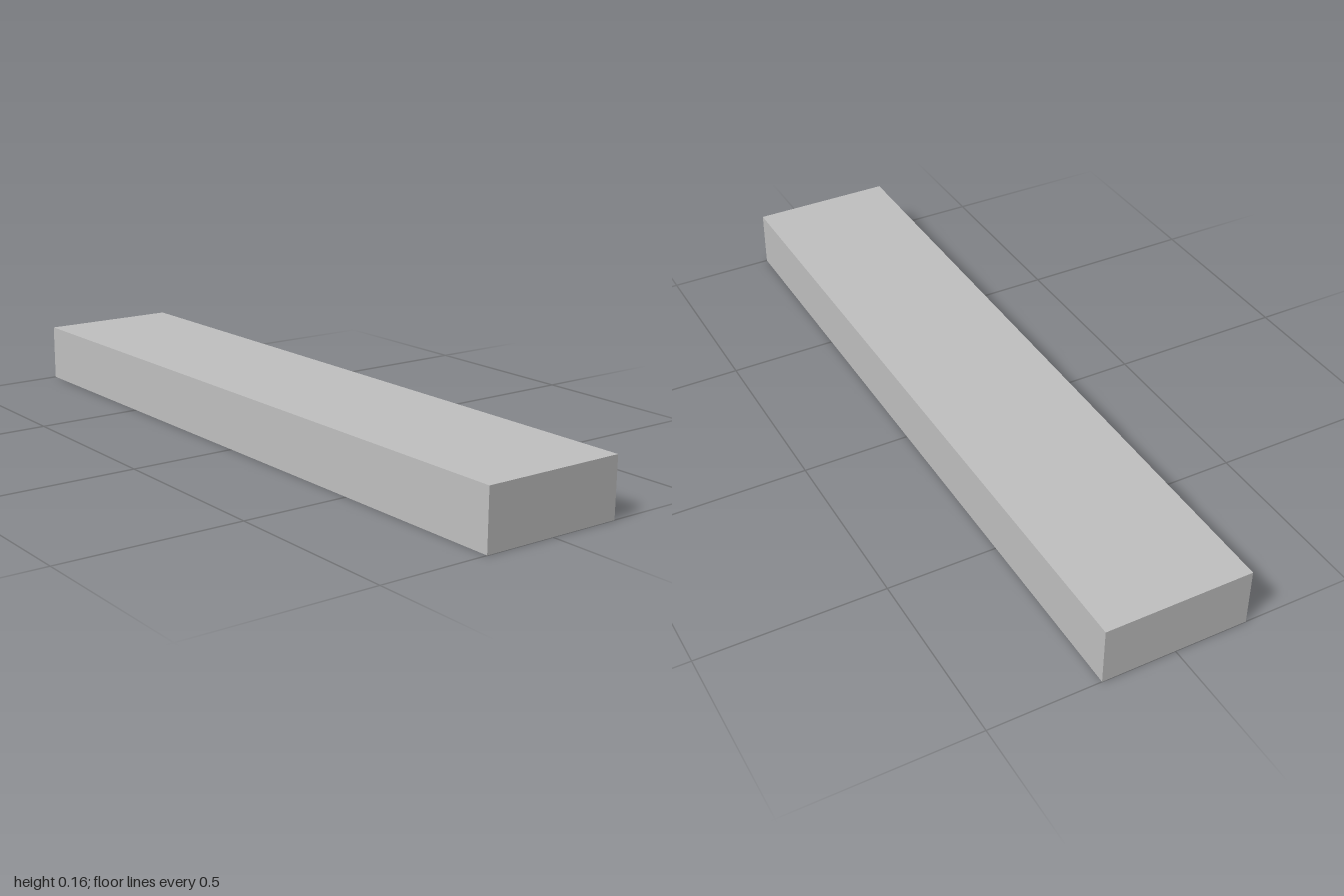
import * as THREE from 'three';

// Box open at the bottom, standing on y = 0
function openBox(name, width, height, depth, x, material) {
  const geometry = new THREE.BoxGeometry(width, height, depth);
  // Drop the six indices of the -y face
  const index = Array.from(geometry.index.array);
  index.splice(18, 6);
  geometry.setIndex(index);
  geometry.clearGroups();
  geometry.translate(x, height / 2, 0);
  const mesh = new THREE.Mesh(geometry, material);
  mesh.name = name;
  return mesh;
}

export function createModel() {
  const group = new THREE.Group();
  group.name = 'hollowBlock';

  const grey = new THREE.MeshStandardMaterial({ color: 0xc0c0c0, side: THREE.DoubleSide });
  grey.name = 'light grey';

  // Outer shell: top and four sides
  group.add(openBox('outerShell', 2, 0.16, 0.4, 0, grey));

  // Two shallow pockets on the underside
  for (const side of [1, -1]) {
    group.add(openBox(side > 0 ? 'leftPocket' : 'rightPocket', 0.84, 0.08, 0.24, side * 0.5, grey));
  }
  return group;
}
